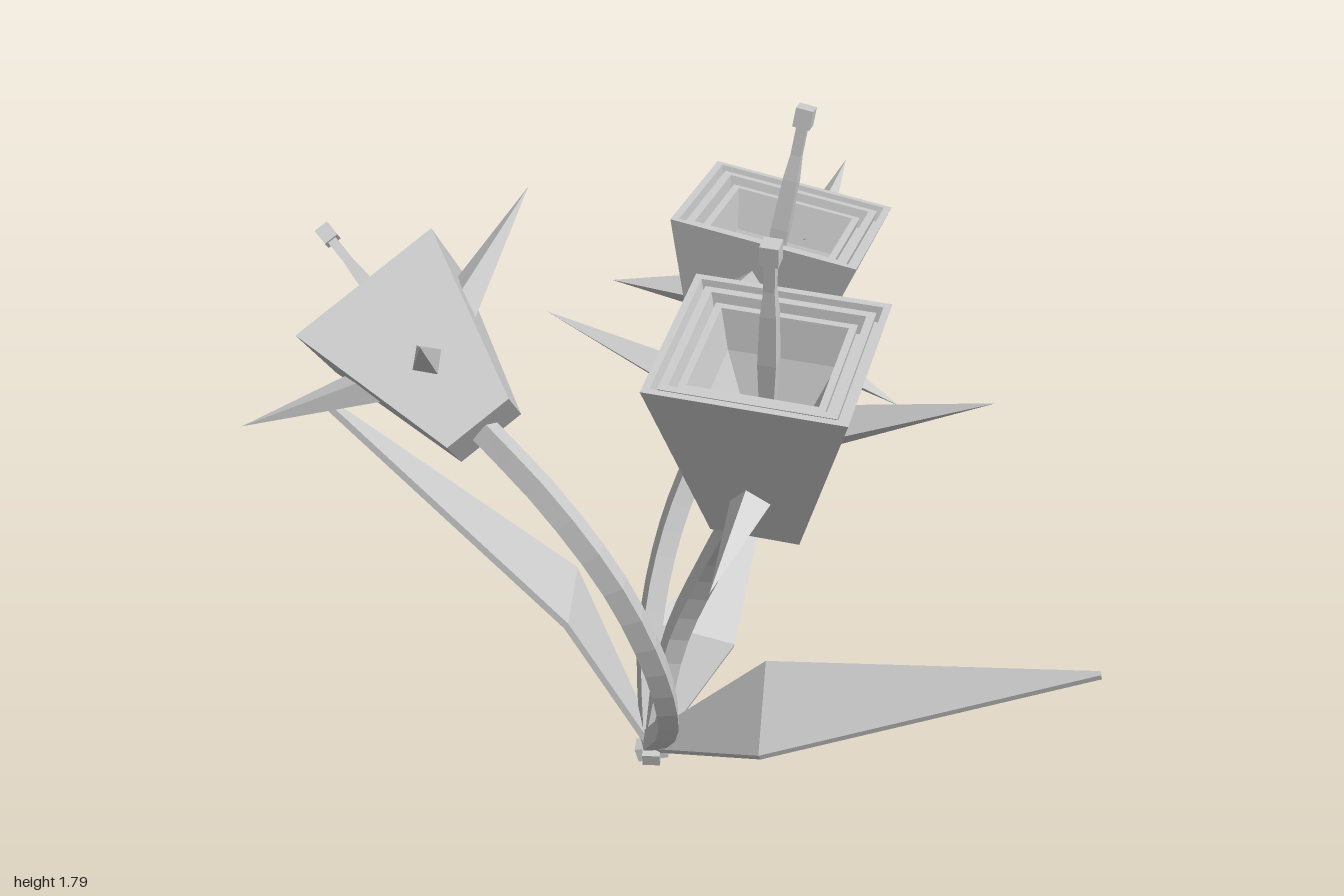
import * as THREE from 'three';

const mat = new THREE.MeshStandardMaterial({ color: 0xcccccc, flatShading: true, side: THREE.DoubleSide });
const V = (a) => new THREE.Vector3(...a);

function add(parent, name, geometry) {
  const mesh = new THREE.Mesh(geometry, mat);
  mesh.name = name;
  parent.add(mesh);
  return mesh;
}

// Square lathe: profile of [half width, height]
function squareLathe(profile) {
  const pts = profile.map(([w, y]) => new THREE.Vector2(w * Math.SQRT2, y));
  return new THREE.LatheGeometry(pts, 4, Math.PI / 4);
}

// Four-sided spike between two points
function addThorn(parent, from, to, radius) {
  const a = V(from), b = V(to), dir = b.clone().sub(a);
  const thorn = add(parent, 'thorn', new THREE.ConeGeometry(radius, dir.length(), 4));
  thorn.position.copy(a).add(b).multiplyScalar(0.5);
  thorn.quaternion.setFromUnitVectors(new THREE.Vector3(0, 1, 0), dir.normalize());
}

// Flower head standing on its base, axis along local y
function createFlower() {
  const g = new THREE.Group();
  g.name = 'flower';
  // Cup with nested stepped rims and a sloping hollow
  add(g, 'cup', squareLathe([
    [0, 0], [0.098, 0], [0.214, 0.435], [0.198, 0.435], [0.19, 0.4],
    [0.182, 0.4], [0.186, 0.427], [0.168, 0.427], [0.159, 0.385],
    [0.15, 0.385], [0.154, 0.412], [0.138, 0.412], [0.118, 0.32], [0.02, 0.1], [0, 0.1],
  ]));
  add(g, 'stamen', squareLathe([[0.008, 0.1], [0.02, 0.4], [0.017, 0.52], [0.012, 0.58], [0.012, 0.66], [0, 0.66]]));
  add(g, 'stamenTip', new THREE.BoxGeometry(0.04, 0.045, 0.04)).position.y = 0.67;
  // Two long raised thorns, two short ones
  addThorn(g, [0.14, 0.29, 0.04], [0.48, 0.425, 0.05], 0.053);
  addThorn(g, [-0.14, 0.29, -0.02], [-0.48, 0.435, 0], 0.053);
  addThorn(g, [0, 0.13, 0.1], [-0.03, 0.06, 0.36], 0.05);
  addThorn(g, [0, 0.2, -0.12], [-0.01, 0.165, -0.365], 0.05);
  return g;
}

// Thin pointed blade, creased across its widest line
function createLeaf([base, left, right, tip]) {
  const b = V(base), l = V(left), r = V(right), t = V(tip);
  const across = r.clone().sub(l).normalize();
  const mid = l.clone().add(r).multiplyScalar(0.5);
  const n = across.clone().cross(t.clone().sub(mid)).normalize().multiplyScalar(0.009);
  const rows = [
    [b.clone().addScaledVector(across, -0.025), b.clone().addScaledVector(across, 0.025)],
    [l, r],
    [t.clone().addScaledVector(across, -0.006), t.clone().addScaledVector(across, 0.006)],
  ];
  const pos = [], idx = [];
  rows.forEach(([p, q]) => {
    const corners = [p.clone().add(n), q.clone().add(n), q.clone().sub(n), p.clone().sub(n)];
    corners.forEach((c) => pos.push(c.x, c.y, c.z));
  });
  for (let s = 0; s < 2; s++) {
    for (let k = 0; k < 4; k++) {
      const a = s * 4 + k, c = s * 4 + (k + 1) % 4;
      idx.push(a, c, c + 4, a, c + 4, a + 4);
    }
  }
  idx.push(0, 2, 1, 0, 3, 2, 8, 9, 10, 8, 10, 11);
  const geo = new THREE.BufferGeometry();
  geo.setAttribute('position', new THREE.Float32BufferAttribute(pos, 3));
  geo.setIndex(idx);
  geo.computeVertexNormals();
  return geo;
}

const ROOT = [-0.1, 0.04, 0.23];

// Each stalk: stem path (ends at the cup), flower size, axis and facing
const STALKS = [
  { name: 'leftStalk', size: 1.02, axis: [0.025, 0.435, 0.035], facing: [0.3, 0, 0.95],
    path: [ROOT, [-0.06, 0.35, 0.175], [0.07, 0.66, 0.205], [0.22, 0.92, 0.31], [0.37, 1.085, 0.445]] },
  { name: 'backStalk', size: 1.07, axis: [0.045, 0.445, -0.085], facing: [0.95, 0, -0.31],
    path: [ROOT, [-0.16, 0.3, 0.14], [-0.175, 0.55, 0.02], [-0.145, 0.76, -0.1], [-0.08, 0.917, -0.21]] },
  { name: 'rightStalk', size: 0.91, axis: [-0.57, 0.36, -0.105], facing: [-0.32, -0.685, -0.64],
    path: [ROOT, [0.035, 0.25, 0.35], [0.08, 0.55, 0.475], [0.02, 0.81, 0.55], [-0.13, 1.0, 0.575], [-0.325, 1.105, 0.55]] },
];

// Leaf corners: base, left edge, right edge, tip
const LEAVES = [
  ['leftLeaf', [ROOT, [0.29, 0.24, 0.33], [0.17, 0.33, 0.1], [0.99, 0.52, -0.08]]],
  ['rightLeaf', [ROOT, [-0.41, 0.4, 0.11], [-0.275, 0.42, 0.34], [-0.995, 0.89, 0.385]]],
  ['backLeaf', [ROOT, [-0.19, 0.3, 0.09], [0.01, 0.25, 0.0], [-0.12, 0.41, -0.33]]],
];

export function createModel() {
  const model = new THREE.Group();
  model.name = 'thornyFlowers';

  for (const { name, size, path, axis, facing } of STALKS) {
    const stalk = new THREE.Group();
    stalk.name = name;
    const curve = new THREE.CatmullRomCurve3(path.map(V));
    add(stalk, 'stem', new THREE.TubeGeometry(curve, 14, 0.036, 4));
    const flower = createFlower();
    const y = V(axis).normalize();
    const x = y.clone().cross(V(facing)).normalize();
    flower.quaternion.setFromRotationMatrix(new THREE.Matrix4().makeBasis(x, y, x.clone().cross(y)));
    flower.position.copy(V(path[path.length - 1]));
    flower.scale.setScalar(size);
    stalk.add(flower);
    model.add(stalk);
  }

  for (const [name, corners] of LEAVES) add(model, name, createLeaf(corners));

  // Small root clump
  for (let i = 0; i < 2; i++) {
    const root = add(model, 'root', new THREE.BoxGeometry(0.08, 0.04, 0.045));
    root.position.set(-0.09, 0.032, 0.24);
    root.rotation.set(0, 0.5 + i * Math.PI / 2, 0.25);
  }
  return model;
}
